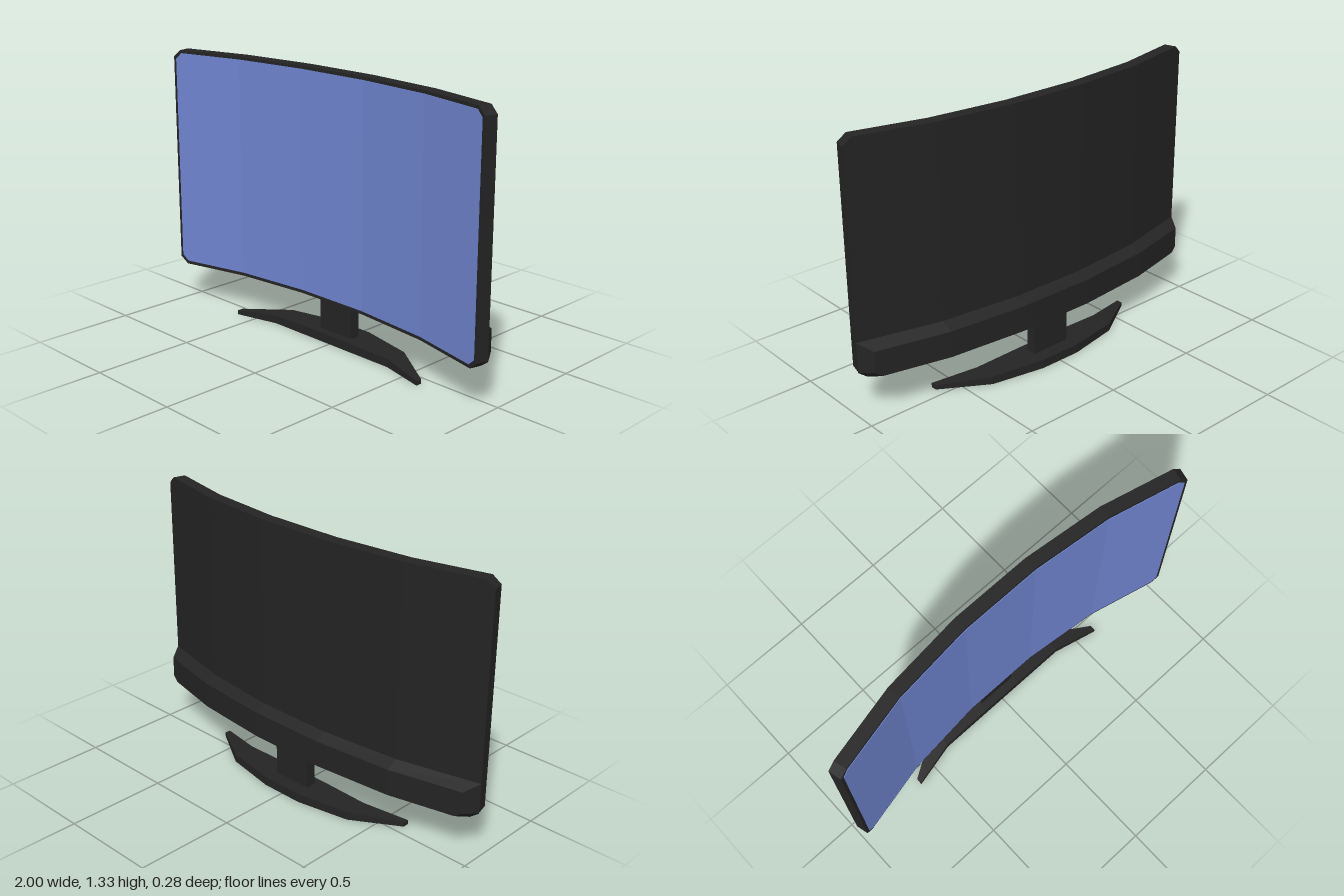
import * as THREE from 'three';

const black = new THREE.MeshStandardMaterial({ color: 0x242424 });
black.name = 'black plastic';
const blue = new THREE.MeshStandardMaterial({ color: 0x6f85d0 });
blue.name = 'screen blue';

// Faceted solid through four-cornered sections ordered by x:
// front bottom, front top, back top, back bottom.
function loft(name, sections, material) {
  const pos = [];
  const quad = (a, b, c, d) => pos.push(...a, ...b, ...c, ...a, ...c, ...d);
  for (let i = 0; i < sections.length - 1; i++) {
    const s = sections[i], t = sections[i + 1];
    for (let j = 0; j < 4; j++) {
      const k = (j + 1) % 4;
      quad(s[j], t[j], t[k], s[k]);
    }
  }
  quad(...sections[0]);
  quad(...[...sections[sections.length - 1]].reverse());
  const geometry = new THREE.BufferGeometry();
  geometry.setAttribute('position', new THREE.Float32BufferAttribute(pos, 3));
  geometry.computeVertexNormals();
  const mesh = new THREE.Mesh(geometry, material);
  mesh.name = name;
  return mesh;
}

// Mirror sections given from the middle outwards to the full width
const mirrored = (half) => [
  ...half.map((s) => s.map(([x, y, z]) => [-x, y, z])).reverse(),
  ...half,
];

// Height z of a polyline of [x, z] points at x
function along(line, x) {
  let i = 1;
  while (i < line.length - 1 && line[i][0] < x) i++;
  const [x0, z0] = line[i - 1], [x1, z1] = line[i];
  return z0 + ((z1 - z0) * (x - x0)) / (x1 - x0);
}

// Curved front and back lines of the panel, seen from above
const frontLine = [[0, 0.008], [0.2, 0.008], [0.593, 0.048], [0.985, 0.14]];
const backLine = [[0, -0.056], [0.2, -0.056], [0.6, -0.015], [1, 0.08]];
const humpLine = [[0, -0.11], [0.2, -0.11], [0.6, -0.073], [0.957, 0.008]];

export function createModel() {
  const group = new THREE.Group();
  group.name = 'curvedMonitor';

  // Panel with chamfered corners: front x, back x, bottom, top
  group.add(loft('panel', mirrored([
    [0.2, 0.2, 0.205, 1.325],
    [0.593, 0.6, 0.205, 1.325],
    [0.945, 0.96, 0.205, 1.325],
    [0.985, 1, 0.24, 1.29],
  ].map(([fx, bx, y0, y1]) => {
    const f = along(frontLine, fx), b = along(backLine, bx);
    return [[fx, y0, f], [fx, y1, f], [bx, y1, b], [bx, y0, b]];
  })), black));

  // Screen as a thin plate following the front of the panel
  group.add(loft('screen', mirrored([
    [0.2, 0.222, 1.31],
    [0.593, 0.222, 1.31],
    [0.938, 0.222, 1.31],
    [0.97, 0.252, 1.28],
  ].map(([x, y0, y1]) => {
    const z = along(frontLine, x), f = z + 0.003, b = z - 0.002;
    return [[x, y0, f], [x, y1, f], [x, y1, b], [x, y0, b]];
  })), blue));

  // Bevelled housing along the lower back: inner x, outer x, bottoms
  group.add(loft('rearHousing', mirrored([
    [0.2, 0.2, 0.205, 0.225],
    [0.6, 0.6, 0.205, 0.225],
    [0.96, 0.925, 0.205, 0.225],
    [1, 0.957, 0.235, 0.248],
  ].map(([ix, ox, yi, yo]) => {
    const f = along(backLine, ix), b = along(humpLine, ox);
    return [[ix, yi, f], [ix, 0.385, f], [ox, 0.355, b], [ox, yo, b]];
  })), black));

  // Neck
  const neck = new THREE.Mesh(new THREE.BoxGeometry(0.206, 0.19, 0.052), black);
  neck.name = 'neck';
  neck.position.set(0, 0.125, -0.044);
  group.add(neck);

  // Crescent foot: x, top, front z, back z
  group.add(loft('foot', mirrored([
    [0.11, 0.045, 0.025, -0.14],
    [0.38, 0.04, 0.025, -0.09],
    [0.608, 0.022, 0.08, 0.05],
  ].map(([x, y, f, b]) => [[x, 0, f], [x, y, f], [x, y, b], [x, 0, b]])), black));

  return group;
}
